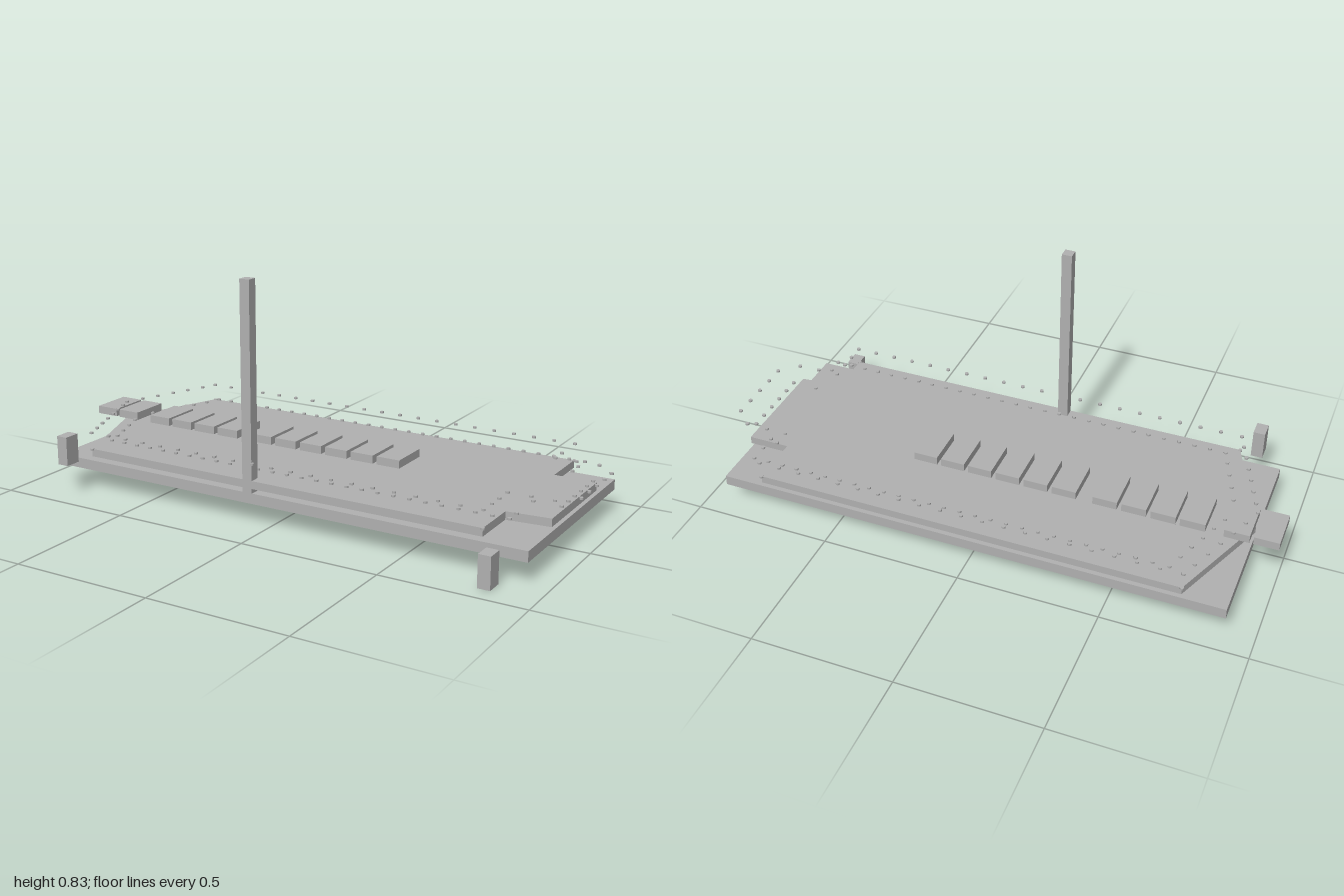
import * as THREE from 'three';

export function createModel() {
  const model = new THREE.Group();
  const grey = new THREE.MeshStandardMaterial({ color: 0xb0b0b0 });
  grey.name = 'plain grey';

  // Box given by its lower and upper limits on each axis
  function box(name, x0, x1, y0, y1, z0, z1) {
    const mesh = new THREE.Mesh(new THREE.BoxGeometry(x1 - x0, y1 - y0, z1 - z0), grey);
    mesh.position.set((x0 + x1) / 2, (y0 + y1) / 2, (z0 + z1) / 2);
    mesh.name = name;
    model.add(mesh);
  }

  // Base slab
  box('base', -0.9, 0.925, 0.072, 0.109, -0.427, 0.337);

  // Pointed deck with two notches at its square end, as [x, z] corners
  const outline = [
    [-0.75, -0.427], [0.775, -0.427], [0.775, -0.243], [0.925, -0.243],
    [0.925, 0.153], [0.775, 0.167], [0.775, 0.337], [-0.75, 0.337], [-0.9, -0.05],
  ];
  const shape = new THREE.Shape(outline.map(([x, z]) => new THREE.Vector2(x, -z)));
  const deckGeometry = new THREE.ExtrudeGeometry(shape, { depth: 0.028, bevelEnabled: false });
  deckGeometry.rotateX(-Math.PI / 2);
  const deck = new THREE.Mesh(deckGeometry, grey);
  deck.position.y = 0.125;
  deck.name = 'deck';
  model.add(deck);

  // Thin pins holding the deck above the base
  for (const x of [-0.86, 0.89]) box('deckPin', x - 0.001, x + 0.001, 0.109, 0.125, -0.083, -0.081);

  // Mast and the two side blocks
  box('mast', -0.103, -0.066, 0.109, 0.834, 0.3, 0.337);
  box('upperSideBlock', -0.825, -0.783, 0.11, 0.215, 0.375, 0.435);
  box('lowerSideBlock', 0.805, 0.848, 0, 0.11, 0.375, 0.435);

  // Row of flat blocks along the middle
  const starts = [-1, -0.9, -0.75, -0.648, -0.545, -0.442, -0.295, -0.191, -0.087, 0.017, 0.12, 0.223];
  for (const x of starts) box('flatBlock', x, x + 0.087, 0.164, 0.193, -0.153, -0.002);

  // Small floating studs, spaced along straight runs
  const studGeometry = new THREE.CylinderGeometry(0.007, 0.007, 0.007, 8);
  function studs(name, y, count, [x0, z0], [x1, z1]) {
    for (let i = 0; i < count; i++) {
      const t = count > 1 ? i / (count - 1) : 0;
      const stud = new THREE.Mesh(studGeometry, grey);
      stud.position.set(x0 + (x1 - x0) * t, y, z0 + (z1 - z0) * t);
      stud.name = name;
      model.add(stud);
    }
  }

  // Upper ring follows the deck edge
  const high = 0.213;
  studs('upperStud', high, 21, [-0.75, -0.427], [0.775, -0.427]);
  studs('upperStud', high, 21, [-0.75, 0.337], [0.775, 0.337]);
  studs('upperStud', high, 6, [-0.772, -0.37], [-0.9, -0.05]);
  studs('upperStud', high, 6, [-0.772, 0.28], [-0.883, -0.005]);
  studs('upperStud', high, 2, [0.775, -0.305], [0.775, -0.245]);
  studs('upperStud', high, 2, [0.85, -0.245], [0.93, -0.245]);
  studs('upperStud', high, 5, [0.993, -0.185], [0.993, 0.09]);
  studs('upperStud', high, 3, [0.93, 0.15], [0.775, 0.155]);
  studs('upperStud', high, 2, [0.775, 0.22], [0.775, 0.275]);

  // Middle ring sits further in
  const mid = 0.175;
  studs('middleStud', mid, 28, [-0.69, -0.368], [0.835, -0.368]);
  studs('middleStud', mid, 28, [-0.71, 0.275], [0.835, 0.275]);
  studs('middleStud', mid, 6, [-0.71, -0.31], [-0.82, -0.02]);
  studs('middleStud', mid, 4, [-0.73, 0.22], [-0.8, 0.03]);
  studs('middleStud', mid, 2, [0.835, -0.305], [0.835, -0.25]);
  studs('middleStud', mid, 6, [0.93, -0.19], [0.93, 0.09]);
  studs('middleStud', mid, 2, [0.835, 0.09], [0.835, 0.22]);

  // Corner studs flush with the deck
  for (const z of [-0.427, 0.337]) studs('deckStud', 0.151, 2, [-0.75, z], [0.775, z]);

  return model;
}
